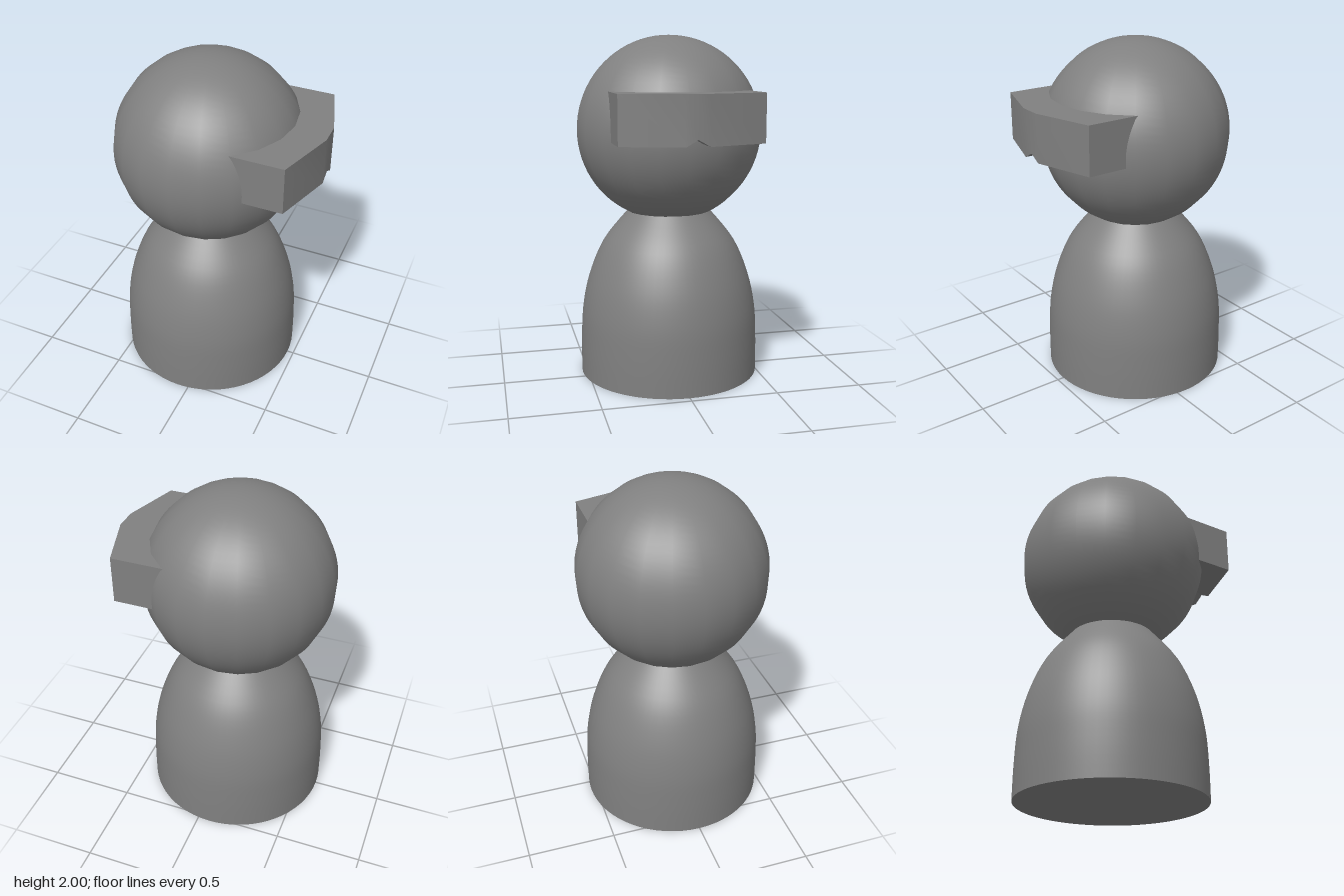
import * as THREE from 'three';
import { toCreasedNormals } from 'three/addons/utils/BufferGeometryUtils.js';

const AXIS_X = -0.07;

export function createModel() {
  const group = new THREE.Group();
  const material = new THREE.MeshStandardMaterial({ color: 0x808080 });

  const add = (name, geometry, x = 0, y = 0) => {
    const mesh = new THREE.Mesh(geometry, material);
    mesh.name = name;
    mesh.position.set(x, y, 0);
    group.add(mesh);
  };

  // Round head
  add('head', new THREE.SphereGeometry(0.54, 20, 40), AXIS_X, 1.46);

  // Bell-shaped body, straight at the foot and narrowing to the neck
  const profile = new THREE.SplineCurve([
    [0.531, 0], [0.53, 0.2], [0.518, 0.4], [0.474, 0.6], [0.387, 0.8], [0.242, 0.98],
  ].map(([r, y]) => new THREE.Vector2(r, y)));
  add('body', new THREE.LatheGeometry(profile.getPoints(24), 64), AXIS_X);

  // Flat underside
  add('base', new THREE.CircleGeometry(0.531, 64).rotateX(Math.PI / 2), AXIS_X);

  // Visor on the head's +x side, with a small nose notch below
  add('visor', visorGeometry());
  return group;
}

// Box-like sections along z, each given by its z, outer x and bottom y
function visorGeometry() {
  const top = 1.69, inner = 0.2;
  const sections = [
    [-0.4, 0.507, 1.42], [-0.065, 0.61, 1.42], [0, 0.61, 1.457],
    [0.065, 0.61, 1.42], [0.4, 0.507, 1.42],
  ];
  const positions = [];
  const index = [];
  sections.forEach(([z, outer, bottom], s) => {
    positions.push(inner, bottom, z, outer, bottom, z, outer, top, z, inner, top, z);
    if (s === 0) return;
    for (let i = 0; i < 4; i++) {
      const a = (s - 1) * 4 + i, b = (s - 1) * 4 + (i + 1) % 4;
      index.push(a, b, b + 4, a, b + 4, a + 4);
    }
  });

  // Flat ends
  const e = (sections.length - 1) * 4;
  index.push(0, 2, 1, 0, 3, 2, e, e + 1, e + 2, e, e + 2, e + 3);

  const geometry = new THREE.BufferGeometry();
  geometry.setAttribute('position', new THREE.Float32BufferAttribute(positions, 3));
  geometry.setIndex(index);
  // Blend the shallow bends of the front, keep the other edges sharp
  return toCreasedNormals(geometry, 0.4);
}
